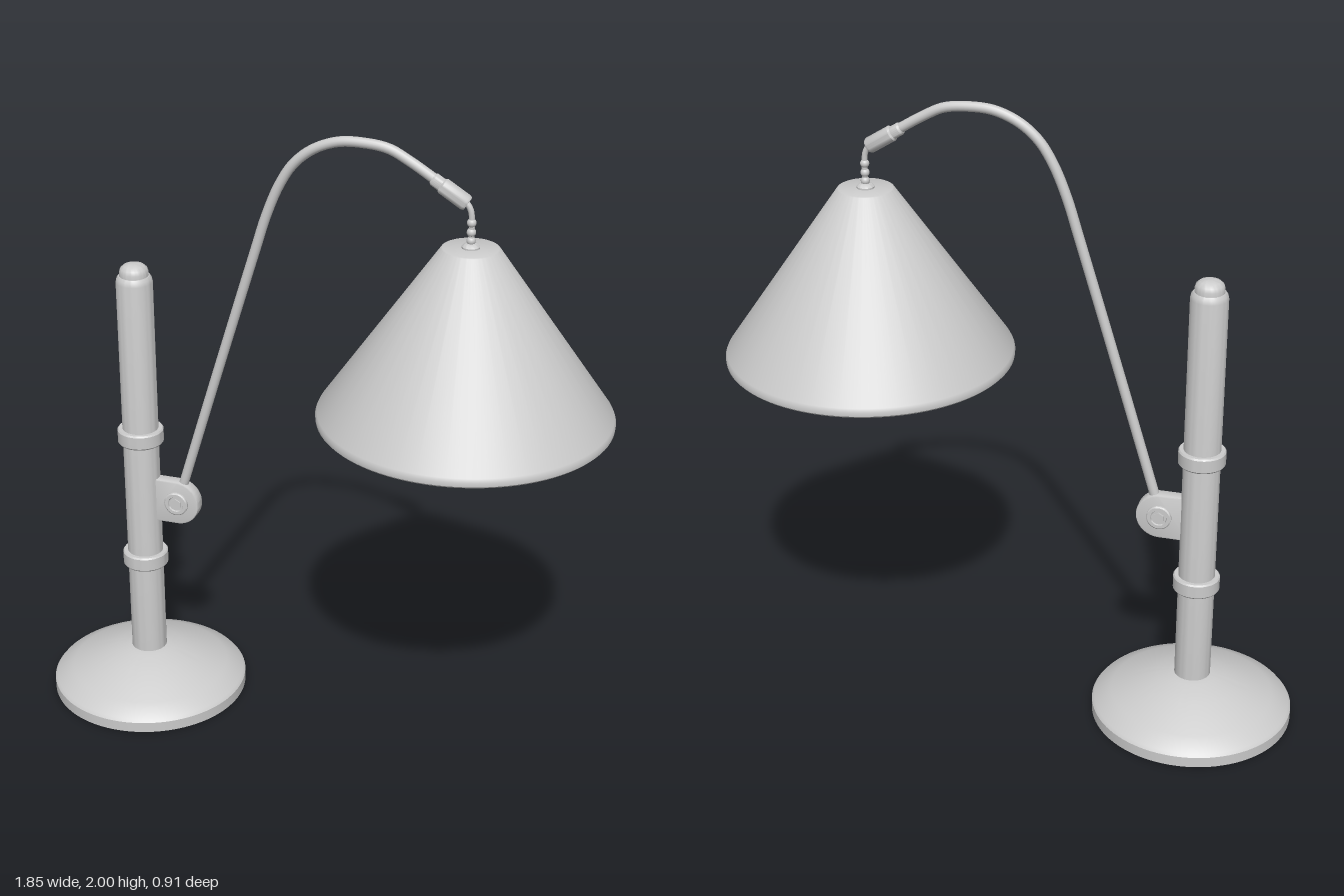
import * as THREE from 'three';
import { toCreasedNormals } from 'three/addons/utils/BufferGeometryUtils.js';

const POLE_X = -0.6;
const SHADE_X = 0.468;

export function createModel() {
  const lamp = new THREE.Group();
  lamp.name = 'deskLamp';
  const grey = new THREE.MeshStandardMaterial({ color: 0xcccccc });
  const greyDouble = new THREE.MeshStandardMaterial({ color: 0xcccccc, side: THREE.DoubleSide });

  const add = (name, geometry, x = 0, y = 0, z = 0, material = grey) => {
    const mesh = new THREE.Mesh(geometry, material);
    mesh.name = name;
    mesh.position.set(x, y, z);
    lamp.add(mesh);
    return mesh;
  };
  // Profile is [radius, height] from bottom to top
  const lathe = (profile, segments = 64) => toCreasedNormals(
    new THREE.LatheGeometry(profile.map(([r, y]) => new THREE.Vector2(r, y)), segments), 0.6);
  const curve = (points) => new THREE.CatmullRomCurve3(
    points.map(([x, y]) => new THREE.Vector3(x, y, 0)), false, 'centripetal');

  // Domed foot
  add('base', lathe([
    [0, 0], [0.323, 0], [0.323, 0.035], [0.315, 0.045], [0.26, 0.073], [0.2, 0.1],
    [0.15, 0.12], [0.11, 0.133], [0.08, 0.14], [0.06, 0.145], [0, 0.145],
  ], 96), POLE_X);

  // Upright pole with rounded shoulder and finial
  add('pole', lathe([
    [0.058, 0.13], [0.058, 1.462], [0.055, 1.475], [0.049, 1.483], [0, 1.483],
  ], 48), POLE_X);
  add('poleCap', lathe([
    [0.046, 1.478], [0.046, 1.495], [0.042, 1.507], [0.032, 1.516], [0.018, 1.521], [0, 1.522],
  ], 48), POLE_X);

  // Collars on the pole
  for (const y of [0.486, 0.933]) {
    add('poleCollar', lathe([
      [0.056, -0.025], [0.07, -0.025], [0.074, -0.02], [0.074, 0.02], [0.07, 0.025], [0.056, 0.025],
    ], 48), POLE_X, y);
  }

  // Hinge bracket: plate with a rounded free end
  const px = -0.476, py = 0.71, r = 0.07;
  const plate = new THREE.Shape();
  plate.moveTo(-0.09, -r);
  plate.lineTo(0, -r);
  plate.absarc(0, 0, r, -Math.PI / 2, Math.PI / 2, false);
  plate.lineTo(-0.09, r);
  plate.closePath();
  const bracket = new THREE.ExtrudeGeometry(plate, {
    depth: 0.032, bevelEnabled: true, bevelSize: 0.005, bevelThickness: 0.005,
    bevelSegments: 2, curveSegments: 24,
  });
  bracket.translate(0, 0, -0.016);
  add('hingeBracket', toCreasedNormals(bracket, 0.6), px, py);

  // Hinge knobs with hexagonal bolt heads, both faces
  for (const side of [1, -1]) {
    const knob = add('hingeKnob', lathe([
      [0.04, 0], [0.04, 0.007], [0.036, 0.01], [0.026, 0.01], [0.024, 0.005], [0, 0.005],
    ], 32), px, py, side * 0.02);
    const bolt = add('hingeBolt', toCreasedNormals(
      new THREE.CylinderGeometry(0.018, 0.018, 0.012, 6), 0.6), px, py, side * 0.024);
    knob.rotation.x = bolt.rotation.x = side * Math.PI / 2;
  }

  // Curved arm
  const armPath = curve([
    [-0.47, 0.73], [-0.455, 0.78], [-0.33, 1.19], [-0.2, 1.61], [-0.162, 1.73], [-0.12, 1.83],
    [-0.075, 1.9], [-0.015, 1.95], [0.06, 1.98], [0.135, 1.985], [0.215, 1.975],
    [0.28, 1.943], [0.37, 1.888],
  ]);
  add('arm', new THREE.TubeGeometry(armPath, 100, 0.0155, 16));

  // Sleeve joining the arm to the hanger
  const sleeve = add('armSleeve', lathe([
    [0, -0.064], [0.016, -0.064], [0.02, -0.058], [0.02, -0.032], [0.025, -0.027],
    [0.025, 0.055], [0.021, 0.062], [0, 0.062],
  ], 24), 0.402, 1.866);
  sleeve.rotation.z = -Math.PI / 2 - 0.56;

  // Bent hanger with beads
  const hangerPath = curve([
    [0.44, 1.843], [0.456, 1.83], [0.465, 1.812], [SHADE_X, 1.79], [SHADE_X, 1.69],
  ]);
  add('hanger', new THREE.TubeGeometry(hangerPath, 30, 0.009, 12));
  for (const y of [1.777, 1.748, 1.722]) {
    add('hangerBead', new THREE.SphereGeometry(0.014, 20, 12), SHADE_X, y);
  }
  add('shadeHub', lathe([
    [0.027, 1.698], [0.027, 1.705], [0.02, 1.712], [0.01, 1.716], [0, 1.716],
  ], 32), SHADE_X);

  // Conical shade: outer skin, flat top, and inner skin in one profile
  add('shade', lathe([
    [0, 1.69], [0.08, 1.69], [0.441, 1.168], [0.441, 1.148], [0.447, 1.144], [0.453, 1.15],
    [0.454, 1.163], [0.449, 1.174], [0.087, 1.698], [0.083, 1.7], [0, 1.7],
  ], 96), SHADE_X, 0, 0, greyDouble);

  // Lamp holder and egg-shaped bulb
  add('bulbSocket', lathe([
    [0, 1.5], [0.042, 1.5], [0.045, 1.505], [0.045, 1.6], [0.03, 1.63], [0.03, 1.692],
  ], 32), SHADE_X);
  add('bulb', lathe([
    [0, 1.205], [0.025, 1.209], [0.05, 1.222], [0.072, 1.245], [0.086, 1.275], [0.091, 1.31],
    [0.087, 1.35], [0.076, 1.395], [0.06, 1.44], [0.045, 1.475], [0.036, 1.505],
  ], 48), SHADE_X);

  return lamp;
}
